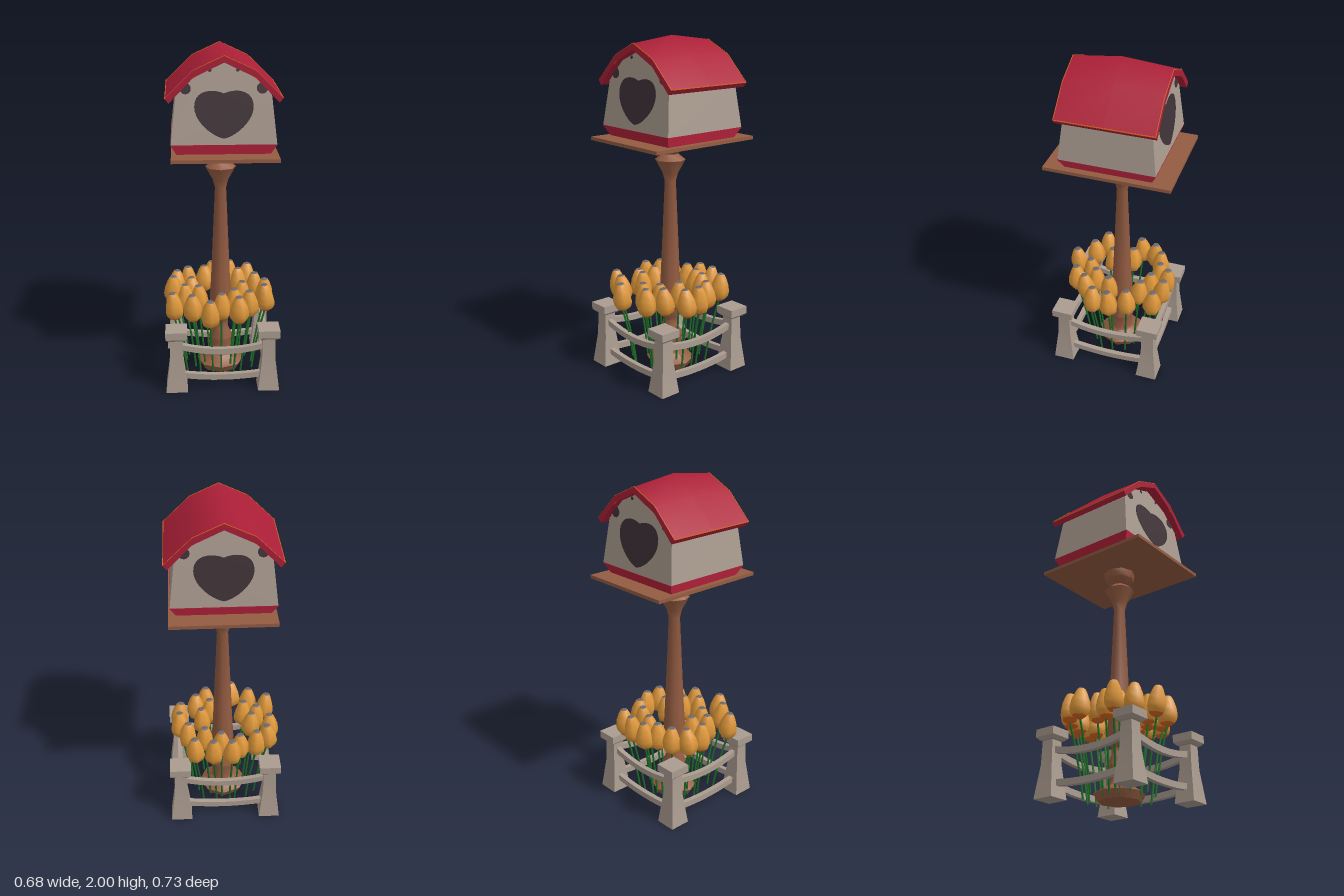
import * as THREE from 'three';
import { toCreasedNormals } from 'three/addons/utils/BufferGeometryUtils.js';

const material = (name, color, side = THREE.FrontSide) => {
  const m = new THREE.MeshStandardMaterial({ color, side });
  m.name = name;
  return m;
};

// Moves every vertex by a rule; a crease of 0 keeps the normals as they are
function reshape(geo, rule, crease = 0.3) {
  const p = geo.attributes.position;
  const v = new THREE.Vector3();
  for (let i = 0; i < p.count; i++) {
    v.fromBufferAttribute(p, i);
    rule(v);
    p.setXYZ(i, v.x, v.y, v.z);
  }
  return crease ? toCreasedNormals(geo, crease) : geo;
}

const lathe = (pts, sides, crease, start = 0) => toCreasedNormals(
  new THREE.LatheGeometry(pts.map(([r, y]) => new THREE.Vector2(r, y)), sides, start), crease);

const polygon = (pts) => new THREE.Shape(pts.map(([x, y]) => new THREE.Vector2(x, y)));

export function createModel() {
  const model = new THREE.Group();
  const red = material('roof red', 0xac1f37);
  const stone = material('weathered grey', 0xab9c90);
  const dark = material('dark opening', 0x403338);
  const wood = material('brown wood', 0x945c42);
  const petal = material('tulip orange', 0xe0983a, THREE.DoubleSide);
  const cup = material('tulip base', 0xdc661e);
  const tip = material('tulip tip', 0x6a686e);
  const green = material('stem green', 0x1d7027);

  const add = (parent, name, geo, mat, x = 0, y = 0, z = 0) => {
    const mesh = new THREE.Mesh(geo, mat);
    mesh.name = name;
    mesh.position.set(x, y, z);
    parent.add(mesh);
    return mesh;
  };

  // Turned pole and platform
  add(model, 'pole', lathe([
    [0, 0], [0.12, 0], [0.145, 0.045], [0.072, 0.085], [0.066, 0.11], [0.068, 0.18], [0.073, 0.2],
    [0.046, 0.26], [0.042, 0.3], [0.068, 0.345], [0.068, 0.4], [0.057, 0.6], [0.033, 1.16],
    [0.046, 1.21], [0.09, 1.29], [0.046, 1.325], [0.088, 1.36], [0.094, 1.41]], 8, 0.9),
  wood, 0.003, 0, -0.003);
  add(model, 'platform', new THREE.BoxGeometry(0.59, 0.02, 0.725), wood, 0.015, 1.416, -0.007);

  // House: walls lean inwards as they rise
  const house = new THREE.Group();
  house.name = 'house';
  house.position.set(0.0095, 0, -0.008);
  model.add(house);
  const gableZ = (y) => 0.275 - (y - 1.485) * 0.12;

  const wallShape = polygon([[-0.29, 1.485], [0.29, 1.485], [0.26, 1.745],
    [0.158, 1.86], [0, 1.93], [-0.158, 1.86], [-0.26, 1.745]]);
  add(house, 'walls', reshape(
    new THREE.ExtrudeGeometry(wallShape, { depth: 1, bevelEnabled: false }),
    (v) => { v.z = (v.z > 0.5 ? 1 : -1) * gableZ(v.y); }), stone);

  // Plinth tapering towards the platform
  add(house, 'plinth', reshape(new THREE.BoxGeometry(0.582, 0.06, 0.556),
    (v) => { if (v.y < 0) { v.x *= 0.89; v.z *= 0.89; } }, 0), red, 0, 1.456, 0);

  // Roof with a ridge that rises towards the middle
  const roofShape = polygon([[-0.297, 1.715], [-0.165, 1.852], [0, 1.931], [0.165, 1.852],
    [0.297, 1.715], [0.317, 1.742], [0.165, 1.89], [0, 1.965], [-0.165, 1.89], [-0.317, 1.742]]);
  add(house, 'roof', reshape(
    new THREE.ExtrudeGeometry(roofShape, { depth: 0.56, steps: 2, bevelEnabled: false }),
    (v) => {
      v.z -= 0.28;
      v.y += 0.035 * Math.max(0, 1 - Math.abs(v.x) / 0.29) * (1 - Math.abs(v.z) / 0.28);
    }, 1.15), red);

  // Fine orange lines along the eaves and the gable ends of the roof
  const gableLine = new THREE.ExtrudeGeometry(polygon([
    [-0.317, 1.742], [0, 1.962], [0.317, 1.742], [0.317, 1.745], [0.165, 1.893], [0, 1.969],
    [-0.165, 1.893], [-0.317, 1.745]]), { depth: 0.003, bevelEnabled: false });
  for (const s of [-1, 1]) {
    add(house, 'eaveLine', new THREE.BoxGeometry(0.005, 0.005, 0.556), cup, s * 0.316, 1.742, 0);
    add(house, 'gableLine', gableLine, cup, 0, 0, s * 0.277 - 0.0015);
  }

  // Thin plates on both gables
  const heart = new THREE.Shape();
  heart.moveTo(0, 1.52);
  heart.bezierCurveTo(0.06, 1.53, 0.16, 1.61, 0.16, 1.69);
  heart.bezierCurveTo(0.16, 1.782, 0.06, 1.788, 0, 1.761);
  heart.bezierCurveTo(-0.06, 1.788, -0.16, 1.782, -0.16, 1.69);
  heart.bezierCurveTo(-0.16, 1.61, -0.06, 1.53, 0, 1.52);
  const spot = (x, y, r) => new THREE.Shape().absarc(x, y, r, 0, Math.PI * 2);
  const plates = [['heart', heart]];
  for (const s of [-1, 1]) {
    plates.push(['eaveSpot', spot(s * 0.207, 1.788, 0.03)]);
    plates.push(['peakSpot', spot(s * 0.075, 1.884, 0.01)]);
  }
  for (const [name, shape] of plates) {
    const geo = reshape(
      new THREE.ExtrudeGeometry(shape, { depth: 0.003, bevelEnabled: false, curveSegments: 10 }),
      (v) => { v.z += gableZ(v.y) - 0.001; });
    add(house, name + 'Front', geo, dark);
    add(house, name + 'Back', geo, dark).rotation.y = Math.PI;
  }

  // Fence: four square flared posts and sagging rails
  const fence = new THREE.Group();
  fence.name = 'fence';
  fence.position.set(0.002, 0, 0.008);
  model.add(fence);
  const postGeo = lathe([[0, 0], [0.063, 0], [0.04, 0.19], [0.036, 0.325], [0.048, 0.33],
    [0.063, 0.345], [0.063, 0.39], [0, 0.39]].map(([r, y]) => [r * Math.SQRT2, y]),
  4, 0.2, Math.PI / 4);
  const railGeo = (sag) => reshape(new THREE.BoxGeometry(0.48, 0.036, 0.03, 8, 1, 1),
    (v) => { v.y -= sag * (1 - (v.x / 0.24) ** 2); });
  const topRail = railGeo(0.032);
  const lowRail = railGeo(0.018);
  for (let i = 0; i < 4; i++) {
    const side = new THREE.Group();
    side.name = 'fenceSide';
    side.rotation.y = i * Math.PI / 2;
    fence.add(side);
    add(side, 'fencePost', postGeo, stone, 0.271, 0, 0.271);
    add(side, 'topRail', topRail, stone, 0, 0.272, 0.271);
    add(side, 'lowerRail', lowRail, stone, 0, 0.088, 0.271);
  }

  // Tulips: x and z of each bloom
  const spots = [
    [-0.28, 0.18], [-0.285, -0.05], [-0.265, -0.14], [-0.21, 0.07], [-0.17, 0.23], [-0.07, 0.31],
    [0, 0.2], [-0.17, -0.02], [-0.19, -0.2], [0.08, 0.14], [0.165, 0.18], [0.13, 0.04],
    [-0.09, -0.22], [0.267, 0.1], [0.268, 0], [0.02, -0.19], [0.12, -0.15], [-0.04, -0.28],
    [0.18, -0.25], [0.07, -0.28], [0.1, 0.26], [0.22, -0.1], [-0.13, 0.1]];
  const petalGeo = lathe([[0.043, -0.068], [0.054, -0.05], [0.058, -0.025], [0.051, 0.018],
    [0.035, 0.06], [0.022, 0.084]], 6, 1.1);
  const cupGeo = lathe([[0, -0.088], [0.024, -0.084], [0.043, -0.068]], 6, 1.1);
  const tipGeo = lathe([[0.022, 0.084], [0.013, 0.089], [0, 0.086]], 6, 1.1);
  spots.forEach(([x, z], i) => {
    const flower = new THREE.Group();
    flower.name = 'tulip';
    model.add(flower);
    const bloom = new THREE.Group();
    bloom.name = 'bloom';
    bloom.position.set(x, 0.492 + 0.004 * ((i * 5) % 3 - 1), z);
    bloom.rotation.set(z * 0.35, i * 1.7, -x * 0.35);
    flower.add(bloom);
    add(bloom, 'petals', petalGeo, petal);
    add(bloom, 'bloomBase', cupGeo, cup);
    add(bloom, 'bloomTip', tipGeo, tip);
    const stemPath = new THREE.QuadraticBezierCurve3(
      new THREE.Vector3(x * 0.72, 0.01, z * 0.72),
      new THREE.Vector3(x * 0.8, 0.2, z * 0.8),
      new THREE.Vector3(x, 0.42, z));
    add(flower, 'stem', new THREE.TubeGeometry(stemPath, 5, 0.006, 5), green);
  });

  return model;
}
